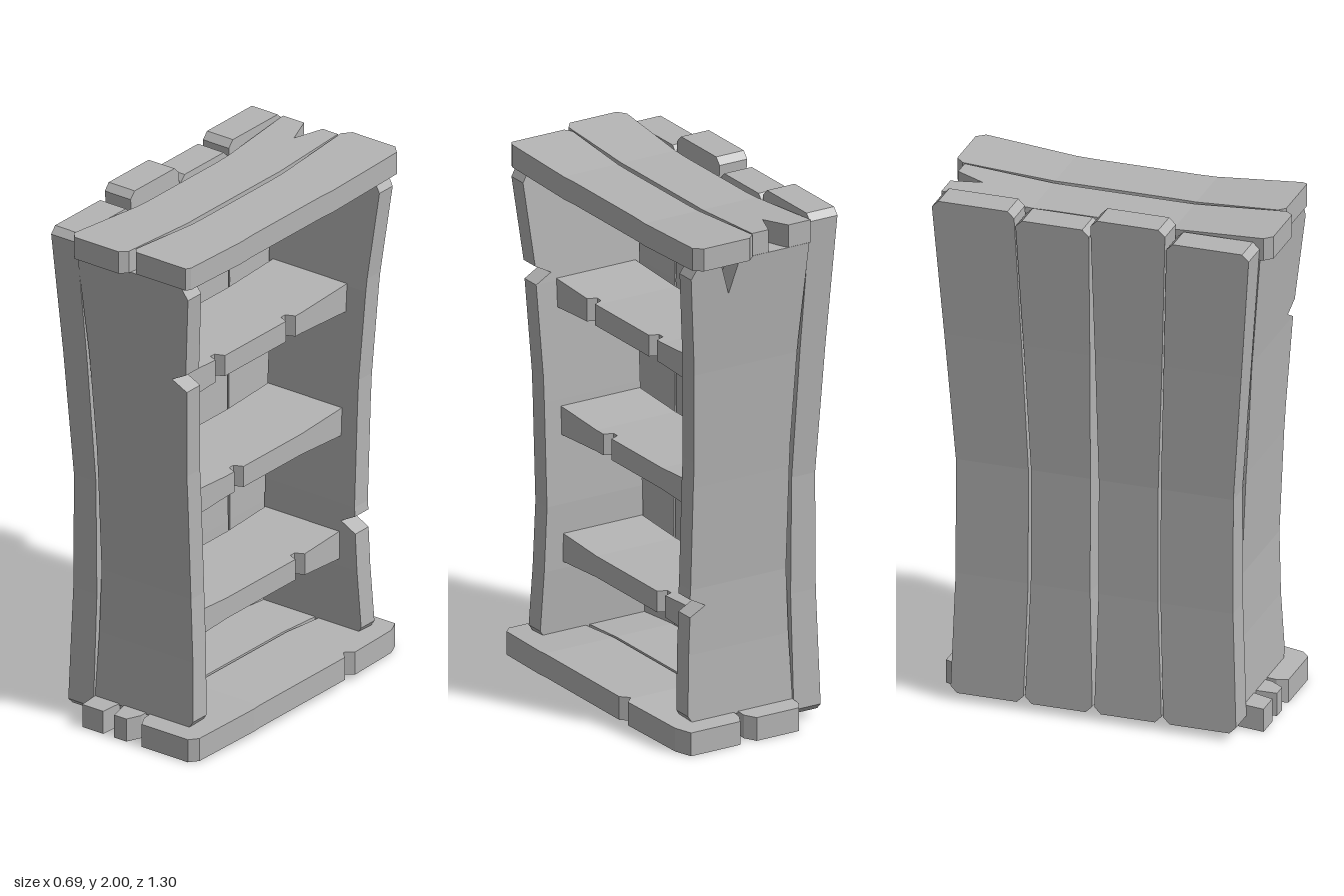
import * as THREE from 'three';

// Piecewise linear value of a list of [t, value] points
function at(pts, t) {
  if (t <= pts[0][0]) return pts[0][1];
  for (let i = 1; i < pts.length; i++) {
    const [a, va] = pts[i - 1], [b, vb] = pts[i];
    if (t <= b) return va + (vb - va) * (t - a) / (b - a);
  }
  return pts[pts.length - 1][1];
}

// A plank made of strips [lowEdge, highEdge, tStart, tEnd]; place(t, w, s) puts it in space
function plank(strips, bend, place) {
  const pos = [];
  const e = 0.001, o = place(0.5, 0, 0);
  const dt = place(0.5 + e, 0, 0).sub(o), dw = place(0.5, e, 0).sub(o), ds = place(0.5, 0, 1).sub(o);
  const flip = dt.cross(dw).dot(ds) > 0;
  const quad = (a, b, c, d) => {
    const order = flip ? [a, c, b, a, d, c] : [a, b, c, a, c, d];
    for (const p of order) pos.push(p.x, p.y, p.z);
  };
  for (const [lo, hi, t0, t1] of strips) {
    const ts = [...lo, ...hi, ...bend].map((p) => p[0]).filter((t) => t > t0 && t < t1);
    const stations = [...new Set([t0, ...ts, t1])].sort((a, b) => a - b);
    const rings = stations.map((t) => {
      const l = at(lo, t), h = at(hi, t);
      return [place(t, l, 0), place(t, h, 0), place(t, h, 1), place(t, l, 1)];
    });
    for (let i = 1; i < rings.length; i++) {
      const a = rings[i - 1], b = rings[i];
      for (let k = 0; k < 4; k++) {
        const n = (k + 1) % 4;
        quad(a[k], b[k], b[n], a[n]);
      }
    }
    const first = rings[0], last = rings[rings.length - 1];
    quad(first[0], first[1], first[2], first[3]);
    quad(last[3], last[2], last[1], last[0]);
  }
  const g = new THREE.BufferGeometry();
  g.setAttribute('position', new THREE.Float32BufferAttribute(pos, 3));
  g.computeVertexNormals();
  return g;
}

export function createModel() {
  const group = new THREE.Group();
  group.name = 'bookshelf';
  const wood = new THREE.MeshStandardMaterial({ color: 0xb4b4b4 });
  wood.name = 'greyWood';
  const V = (x, y, z) => new THREE.Vector3(x, y, z);
  const add = (name, strips, bend, place) => {
    const m = new THREE.Mesh(plank(strips, bend, place), wood);
    m.name = name;
    group.add(m);
  };

  // Top planks, dipping in the middle
  const topBend = [[-0.65, 1.885], [-0.27, 1.86], [0.27, 1.86], [0.65, 1.885]];
  const topPlace = (z, x, s) => V(x, at(topBend, z) + s * 0.087, z);
  const backLo = [[-0.61, -0.23], [-0.2, -0.21], [0.2, -0.21], [0.62, -0.23], [0.65, -0.205]];
  const backHi = [[-0.61, 0.02], [-0.2, 0.015], [0.2, 0.015], [0.62, 0.02], [0.65, -0.005]];
  add('topBackPlank', [
    [backLo, backHi, -0.5, 0.65],
    [backLo, [[-0.61, -0.135], [-0.5, -0.095]], -0.61, -0.5],
    [[[-0.61, -0.05], [-0.5, -0.095]], backHi, -0.61, -0.5],
  ], topBend, topPlace);
  add('topFrontPlank', [[
    [[-0.65, 0.055], [-0.62, 0.025], [-0.2, 0.035], [0.2, 0.035], [0.585, 0.025], [0.61, 0.045]],
    [[-0.65, 0.25], [-0.62, 0.28], [-0.55, 0.277], [-0.2, 0.26], [0.2, 0.26], [0.59, 0.28], [0.61, 0.27]],
    -0.65, 0.61]], topBend, topPlace);

  // Bottom planks, arched in the middle
  const footBend = [[-0.61, 0], [-0.27, 0.028], [0.27, 0.028], [0.61, 0]];
  const footPlace = (z, x, s) => V(x, at(footBend, z) + s * 0.09, z);
  const footLo = [[-0.61, -0.18], [-0.58, -0.2], [0.61, -0.2]];
  const footHi = [[-0.61, 0.0], [-0.57, 0.03], [-0.3, 0.04], [0.3, 0.04], [0.56, 0.03], [0.61, 0.0]];
  add('bottomBackPlank', [
    [footLo, footHi, -0.61, 0.53],
    [footLo, [[0.53, -0.09], [0.61, -0.105]], 0.53, 0.61],
    [[[0.53, -0.07], [0.61, -0.055]], footHi, 0.53, 0.61],
  ], footBend, footPlace);
  add('bottomFrontPlank', [[
    [[-0.61, 0.07], [-0.57, 0.05], [0.57, 0.05], [0.61, 0.07]],
    [[-0.61, 0.28], [-0.55, 0.31], [-0.29, 0.345], [-0.26, 0.315], [-0.23, 0.345],
      [0.3, 0.345], [0.58, 0.31], [0.61, 0.28]],
    -0.61, 0.61]], footBend, footPlace);

  // Side boards, waisted and flaring upward, each with a nick in the front edge
  const inner = [[0.09, 0.457], [0.35, 0.444], [0.6, 0.442], [1, 0.46], [1.45, 0.488], [1.88, 0.528]];
  const sideLo = [[0.09, -0.2], [0.6, -0.182], [1.1, -0.185], [1.5, -0.202], [1.88, -0.227]];
  const sideHi = (y, x) => [[0.09, 0.225], [0.12, 0.245], [0.6, 0.225], [1.1, 0.225], [1.5, 0.243],
    [1.84, 0.275], [1.88, 0.25]].filter((p) => Math.abs(p[0] - y) > 0.05)
    .concat([[y - 0.035, x], [y, x - 0.065], [y + 0.035, x]]).sort((a, b) => a[0] - b[0]);
  const sidePlace = (sign) => (y, x, s) => V(x, y, sign * (at(inner, y) + s * 0.078));
  add('frontSideBoard', [[sideLo, sideHi(1.485, 0.242), 0.09, 1.88]], inner, sidePlace(1));
  const nicked = sideHi(0.53, 0.228);
  add('rearSideBoard', [
    [sideLo, nicked, 0.09, 1.75],
    [sideLo, [[1.75, 0.11], [1.88, 0.07]], 1.75, 1.88],
    [[[1.75, 0.11], [1.88, 0.15]], nicked, 1.75, 1.88],
  ], inner, sidePlace(-1));

  // Back boards: [low edge, high edge] at the bottom, middle and top, then the top height
  const backBend = [[0.03, -0.315], [0.5, -0.303], [0.95, -0.3], [1.45, -0.32], [2, -0.35]];
  const backThick = [[0.03, 0.115], [0.95, 0.1], [2, 0.118]];
  const backPlace = (y, z, s) => V(at(backBend, y) + s * at(backThick, y), y, z);
  const boards = [
    [[0.267, 0.545], [0.253, 0.53], [0.29, 0.605], 1.95],
    [[0.004, 0.26], [0.016, 0.243], [0.001, 0.286], 2],
    [[-0.26, -0.004], [-0.243, -0.016], [-0.286, -0.006], 1.955],
    [[-0.545, -0.267], [-0.53, -0.253], [-0.605, -0.291], 1.985],
  ];
  const c = 0.025;
  boards.forEach(([bottom, mid, top, h], i) => {
    const edge = (k, d) => [[0.03, bottom[k] + d * c], [0.055, bottom[k]], [0.5, mid[k]], [0.95, mid[k]],
      [1.45, (mid[k] + top[k]) / 2], [h - c, top[k]], [h, top[k] + d * c]];
    add('backBoard' + (i + 1), [[edge(0, 1), edge(1, -1), 0.03, h]], backBend, backPlace);
  });

  // Shelves, thicker at both ends, nicked along the front edge
  const shelves = [
    ['topShelf', 1.403, 0.495, [-0.155, 0.26]],
    ['middleShelf', 0.918, 0.465, [0.15]],
    ['lowerShelf', 0.43, 0.45, [-0.21]],
  ];
  for (const [name, y, half, nicks] of shelves) {
    const thick = [[-half, 0.055], [-0.22, 0.041], [0.22, 0.041], [half, 0.055]];
    const front = [[-half, 0.155], ...nicks.flatMap((z) =>
      [[z - 0.03, 0.155], [z - 0.015, 0.12], [z + 0.01, 0.12], [z + 0.025, 0.155]]), [half, 0.155]];
    add(name, [[[[-half, -0.182], [half, -0.182]], front, -half, half]], thick,
      (z, x, s) => V(x, y + (2 * s - 1) * at(thick, z), z));
  }
  return group;
}
